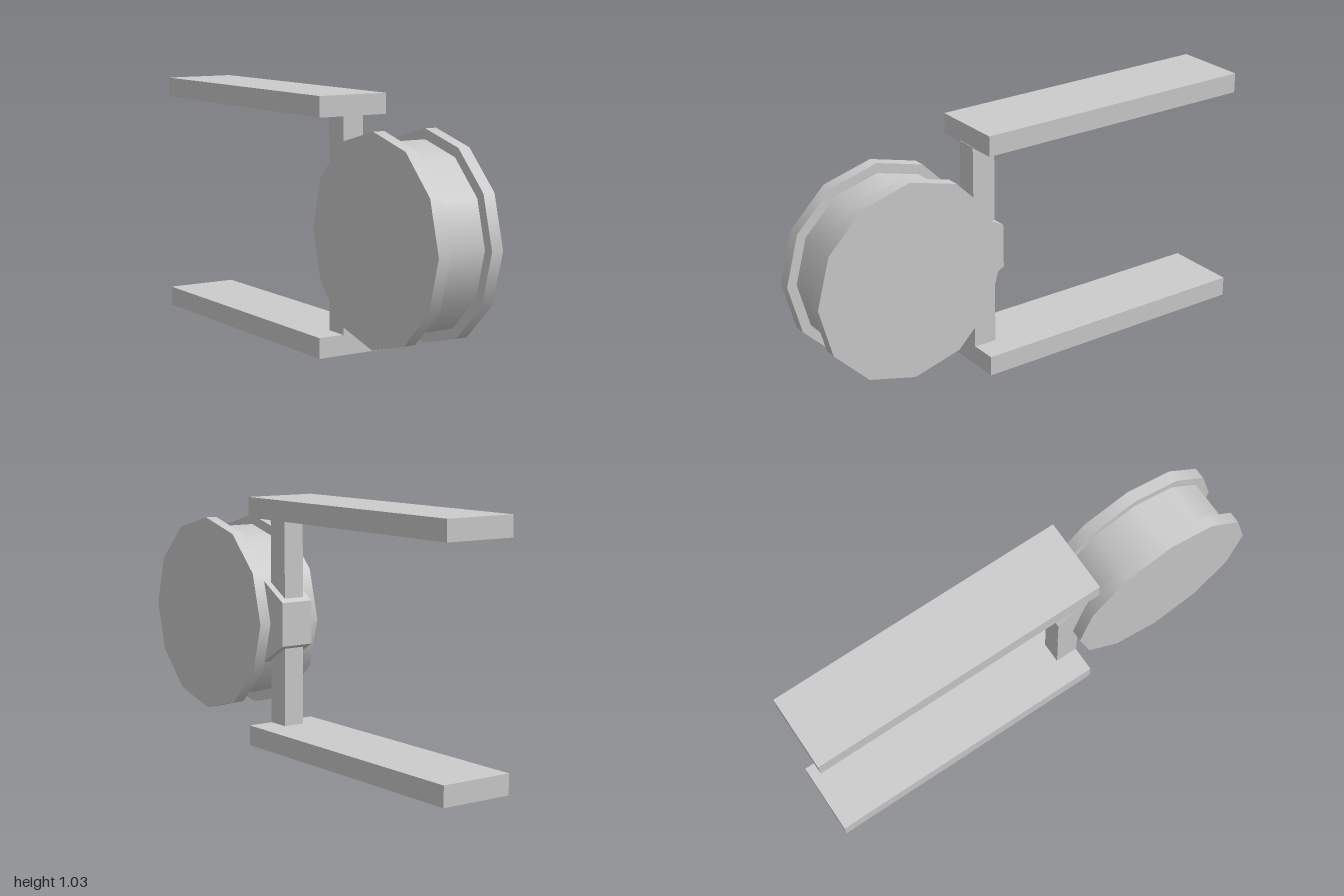
import * as THREE from 'three';

const material = new THREE.MeshStandardMaterial({ color: 0xcccccc });

function add(group, name, geometry, x, y, z) {
  const mesh = new THREE.Mesh(geometry, material);
  mesh.name = name;
  mesh.position.set(x, y, z);
  group.add(mesh);
  return mesh;
}

// Prism lying along x, with its first corner pointing to +z
function prismX(radius, width, sides) {
  return new THREE.CylinderGeometry(radius, radius, width, sides).rotateZ(Math.PI / 2);
}

export function createModel() {
  const model = new THREE.Group();
  model.name = 'wheelBracket';
  const axisY = 0.511;
  const wheelZ = 0.59;

  // Twelve-sided wheel: a drum between two wider flanges
  const wheel = new THREE.Group();
  wheel.name = 'wheel';
  model.add(wheel);
  add(wheel, 'drum', prismX(0.369, 0.2, 12), 0, axisY, wheelZ);
  add(wheel, 'leftFlange', prismX(0.41, 0.05, 12), 0.117, axisY, wheelZ);
  add(wheel, 'rightFlange', prismX(0.41, 0.05, 12), -0.119, axisY, wheelZ);

  // Hexagonal clamp joining the drum to the post, flat side to the back
  const clamp = prismX(0.18, 0.145, 6).rotateX(Math.PI / 6).toNonIndexed();
  clamp.computeVertexNormals();
  add(model, 'clamp', clamp, 0, axisY, 0.277);

  // Upright post
  add(model, 'post', new THREE.BoxGeometry(0.09, 0.87, 0.1), 0, 0.515, 0.195);

  // Long plates above and below
  const plate = new THREE.BoxGeometry(0.31, 0.083, 1.243);
  add(model, 'upperPlate', plate, 0, 0.9875, -0.3785);
  add(model, 'lowerPlate', plate, 0, 0.0415, -0.3785);

  return model;
}
